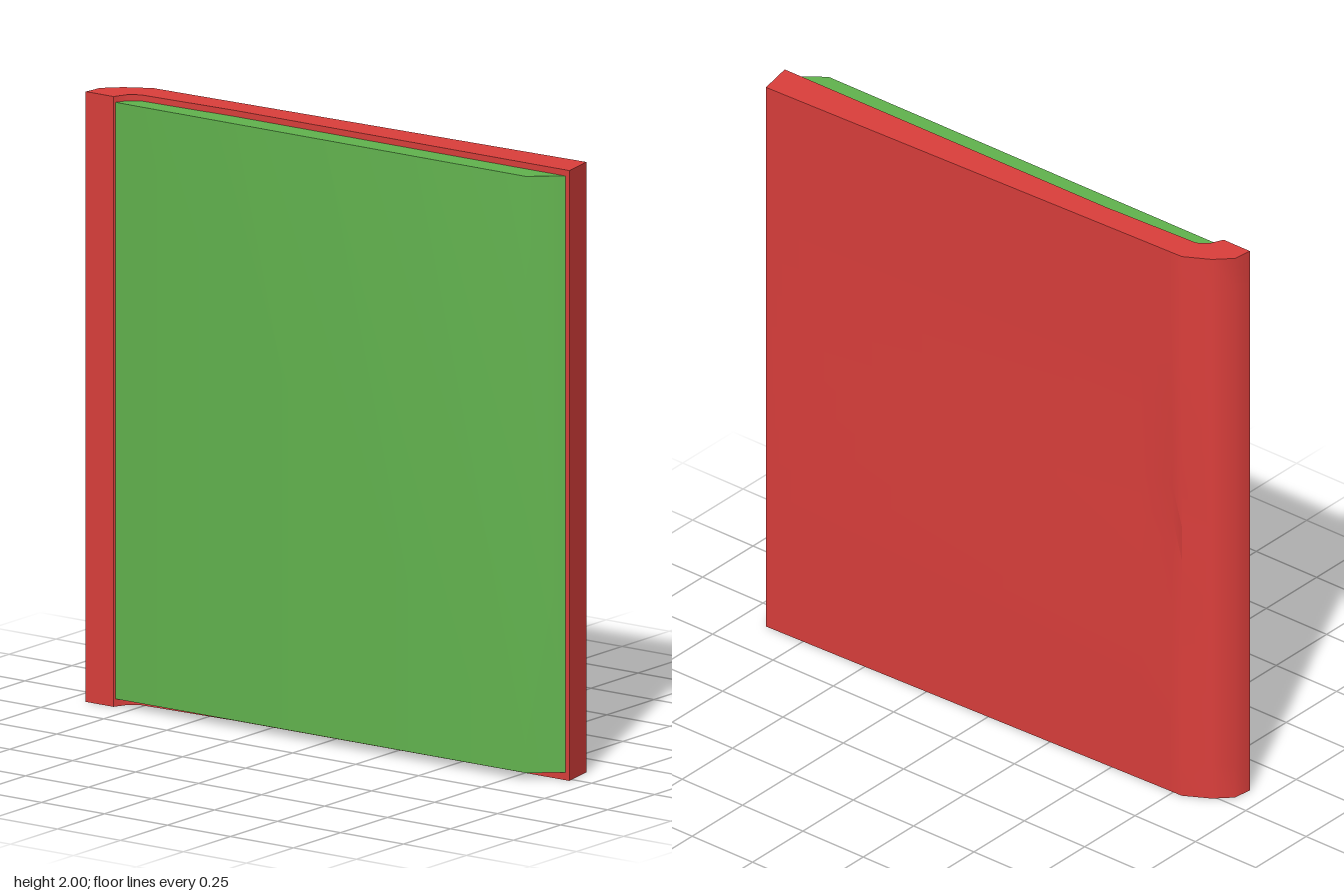
import * as THREE from 'three';
import { toCreasedNormals } from 'three/addons/utils/BufferGeometryUtils.js';

// Extrudes an outline of [x, z] points upwards from y0 to y1.
function slab(outline, y0, y1, steps) {
  const shape = new THREE.Shape(outline.map(([x, z]) => new THREE.Vector2(x, -z)));
  const geometry = new THREE.ExtrudeGeometry(shape, { depth: y1 - y0, steps, bevelEnabled: false });
  geometry.rotateX(-Math.PI / 2).translate(0, y0, 0);
  return geometry;
}

function part(name, geometry, color) {
  const material = new THREE.MeshStandardMaterial({ color });
  const mesh = new THREE.Mesh(toCreasedNormals(geometry, 0.75), material);
  mesh.name = name;
  return mesh;
}

export function createModel() {
  const book = new THREE.Group();
  book.name = 'bookHalf';

  // Cover board that curls round into the spine at the back
  const cover = slab([
    [-0.105, -0.93], [-0.04, -0.922], [0.012, -0.87], [0.06, -0.785],
    [0.061, -0.74], [0.064, -0.62], [0.105, 0.9], [-0.018, 0.925],
    [-0.02, -0.4], [-0.035, -0.765], [-0.06, -0.8], [-0.105, -0.82],
  ], 0, 2, 16);

  // Shallow hinge dent beside the spine, deepest at mid height
  const p = cover.attributes.position;
  for (let i = 0; i < p.count; i++) {
    const x = p.getX(i), z = p.getZ(i);
    if (x > 0.055 && Math.abs(z + 0.74) < 0.01) {
      const fade = Math.max(0, 1 - Math.abs(p.getY(i) - 1) / 0.6);
      p.setX(i, x - 0.012 * fade);
    }
  }
  book.add(part('cover', cover, 0xdc3f3c));

  // Page block with a slanted fore edge
  const pages = slab([
    [-0.098, -0.825], [-0.06, -0.802], [-0.035, -0.765], [-0.02, -0.4],
    [-0.018, 0.91], [-0.098, 0.81],
  ], 0.025, 1.98, 1);
  book.add(part('pages', pages, 0x62b44e));

  return book;
}
